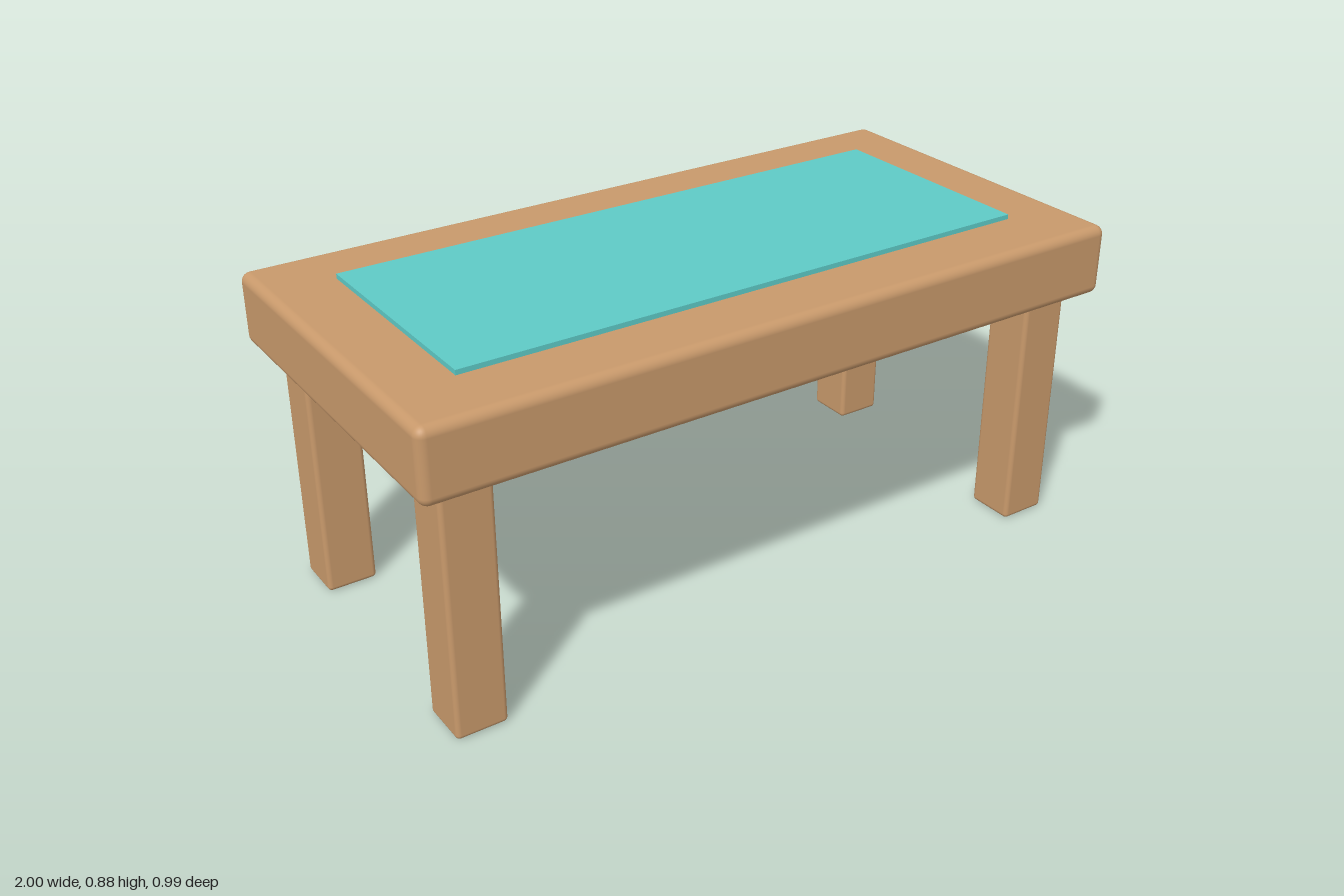
import * as THREE from 'three';
import { RoundedBoxGeometry } from 'three/addons/geometries/RoundedBoxGeometry.js';

export function createModel() {
  const wood = new THREE.MeshStandardMaterial({ name: 'wood', color: 0xc8996b });
  const teal = new THREE.MeshStandardMaterial({ name: 'teal', color: 0x5ecac6 });
  const table = new THREE.Group();
  table.name = 'table';

  const add = (name, geometry, material, x, y, z) => {
    const mesh = new THREE.Mesh(geometry, material);
    mesh.name = name;
    mesh.position.set(x, y, z);
    table.add(mesh);
  };

  // Thick slab with softened edges
  add('tableTop', new RoundedBoxGeometry(2, 0.193, 0.994, 4, 0.025), wood, 0, 0.7715, 0);

  // Inset panel standing slightly proud of the slab
  add('topPanel', new THREE.BoxGeometry(1.634, 0.03, 0.632), teal, 0, 0.866, 0);

  // Four square legs, running a little way into the slab
  const legGeometry = new RoundedBoxGeometry(0.136, 0.72, 0.136, 4, 0.012);
  for (const [side, x] of [['Left', 0.867], ['Right', -0.867]]) {
    for (const [end, z] of [['front', 0.367], ['back', -0.367]]) {
      add(`${end}${side}Leg`, legGeometry, wood, x, 0.36, z);
    }
  }
  return table;
}
